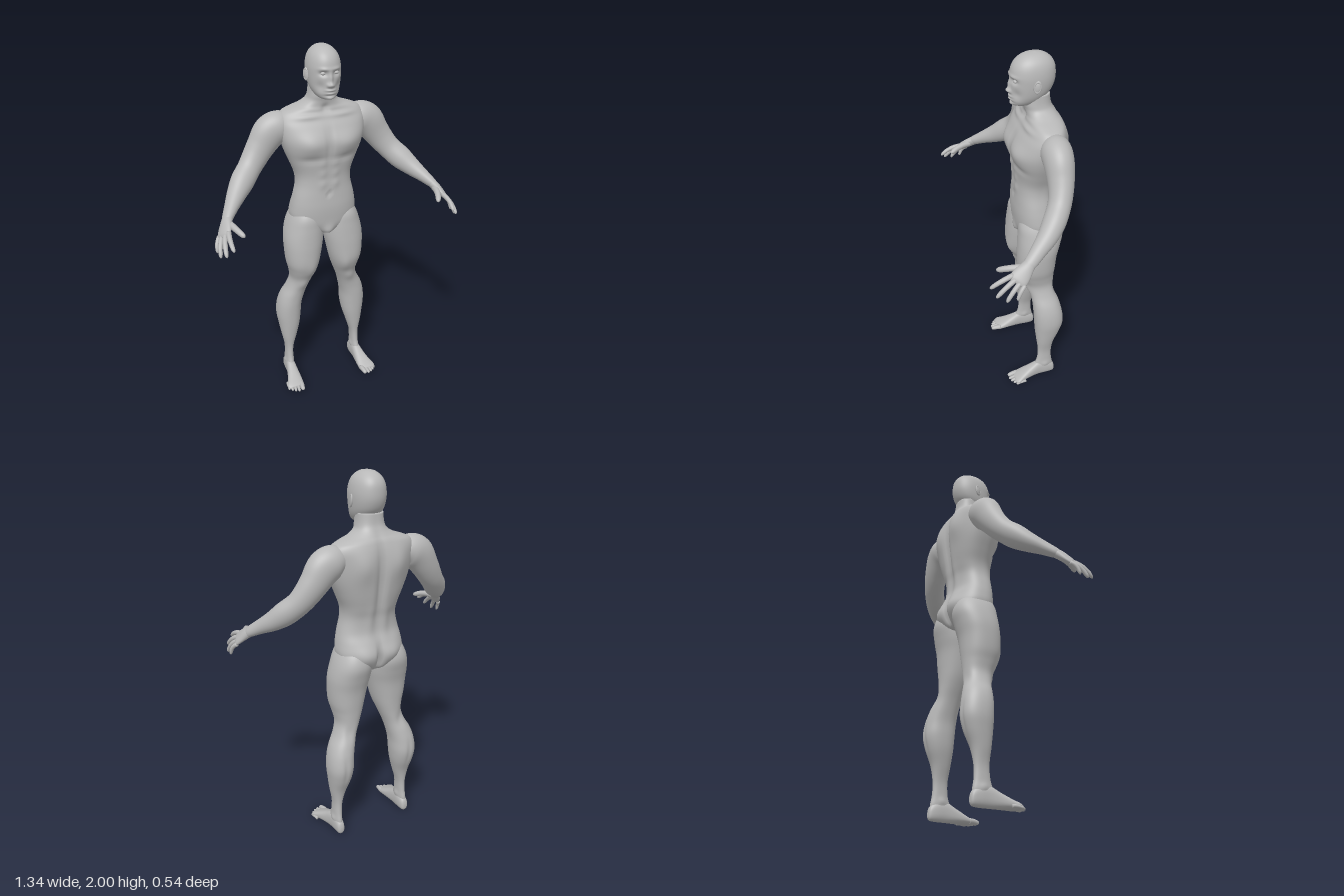
import * as THREE from 'three';

const V = (x, y, z) => new THREE.Vector3(x, y, z);

// Catmull-Rom through rows of numbers, k steps between neighbours
function smoothRows(rows, k) {
  const out = [], n = rows.length;
  const at = (i) => rows[Math.min(n - 1, Math.max(0, i))];
  for (let i = 0; i < n - 1; i++) {
    for (let s = 0; s < k; s++) {
      const t = s / k;
      out.push(rows[i].map((p1, c) => {
        const p0 = at(i - 1)[c], p2 = at(i + 1)[c], p3 = at(i + 2)[c];
        return p1 + 0.5 * t * (p2 - p0 + t * (2 * p0 - 5 * p1 + 4 * p2 - p3 + t * (3 * (p1 - p2) + p3 - p0)));
      }));
    }
  }
  out.push(rows[n - 1]);
  return out;
}

// Closed skin over a list of rings, always facing outward
function skin(rings) {
  const n = rings[0].length, m = rings.length, pts = rings.flat(), idx = [];
  for (let i = 0; i < m - 1; i++) {
    for (let j = 0; j < n; j++) {
      const a = i * n + j, b = i * n + (j + 1) % n;
      idx.push(a, b, a + n, b, b + n, a + n);
    }
  }
  [0, m - 1].forEach((r, e) => {
    const c = pts.length;
    pts.push(rings[r].reduce((s, p) => s.add(p), V(0, 0, 0)).divideScalar(n));
    for (let j = 0; j < n; j++) {
      const a = r * n + j, b = r * n + (j + 1) % n;
      idx.push(c, e ? a : b, e ? b : a);
    }
  });
  let volume = 0;
  for (let i = 0; i < idx.length; i += 3) {
    volume += pts[idx[i]].dot(V(0, 0, 0).crossVectors(pts[idx[i + 1]], pts[idx[i + 2]]));
  }
  if (volume < 0) idx.reverse();
  const g = new THREE.BufferGeometry().setFromPoints(pts);
  g.setIndex(idx);
  g.computeVertexNormals();
  return g;
}

// Rounded outline: unit circle squared off by exponent e
function outline(segs, e) {
  return Array.from({ length: segs }, (_, j) => {
    const a = (j / segs) * Math.PI * 2, c = Math.cos(a), s = Math.sin(a);
    return [Math.sign(c) * Math.abs(c) ** (2 / e), Math.sign(s) * Math.abs(s) ** (2 / e)];
  });
}

// Rows [height, x0, x1, z0, z1]; along z the last pair is y0, y1
function loft(rows, { axis = 'y', segs = 48, k = 5, e = 2.2 } = {}) {
  const o = outline(segs, e);
  return skin(smoothRows(rows, k).map(([h, x0, x1, d0, d1]) => o.map(([c, s]) => {
    const x = (x0 + x1) / 2 + c * (x1 - x0) / 2, d = (d0 + d1) / 2 + s * (d1 - d0) / 2;
    return axis === 'y' ? V(x, h, d) : V(x, d, h);
  })));
}

// Rows [x, y, z, a, b]: radius a across the hint direction, b along it
function limb(rows, hint, { segs = 32, k = 5 } = {}) {
  const r = smoothRows(rows, k), o = outline(segs, 2);
  return skin(r.map(([x, y, z, a, b], i) => {
    const p = r[Math.max(0, i - 1)], q = r[Math.min(r.length - 1, i + 1)];
    const t = V(q[0] - p[0], q[1] - p[1], q[2] - p[2]).normalize();
    const u = V(0, 0, 0).crossVectors(t, hint).normalize(), v = V(0, 0, 0).crossVectors(u, t);
    return o.map(([c, s]) => V(x, y, z).addScaledVector(u, c * a).addScaledVector(v, s * b));
  }));
}

// Soft pushes [cx,cy,cz, sx,sy,sz, dx,dy,dz]; mirrored when off the centre line
function sculpt(geo, bumps, mirror = true) {
  const all = bumps.flatMap((b) => (mirror && b[0] ? [b, b.map((n, i) => (i === 0 || i === 6 ? -n : n))] : [b]));
  const pos = geo.attributes.position, p = V(0, 0, 0);
  for (let i = 0; i < pos.count; i++) {
    p.fromBufferAttribute(pos, i);
    const q = p.clone();
    for (const [cx, cy, cz, sx, sy, sz, dx, dy, dz] of all) {
      const w = Math.exp(-(((p.x - cx) / sx) ** 2) - ((p.y - cy) / sy) ** 2 - ((p.z - cz) / sz) ** 2);
      q.addScaledVector(V(dx, dy, dz), w);
    }
    pos.setXYZ(i, q.x, q.y, q.z);
  }
  geo.computeVertexNormals();
  return geo;
}

function mirrored(geo) {
  const g = geo.clone().scale(-1, 1, 1);
  g.setIndex(Array.from(g.index.array).reverse());
  g.computeVertexNormals();
  return g;
}

// Finger or toe: bent, tapering, with a round tip
function digit(base, tip, r, bend) {
  const fall = [[0, 1], [0.3, 0.98], [0.6, 0.9], [0.85, 0.8], [0.96, 0.5], [1, 0.08]];
  return limb(fall.map(([t, f]) => {
    const p = V(...base).lerp(V(...tip), t).addScaledVector(bend, 4 * t * (1 - t));
    return [p.x, p.y, p.z, r * f, r * f];
  }), V(1, 0, 0), { segs: 14, k: 3 });
}

export function createModel() {
  const model = new THREE.Group();
  const skinGrey = new THREE.MeshStandardMaterial({ color: 0xb8b8b8 });
  skinGrey.name = 'skinGrey';
  const add = (name, geo) => {
    const m = new THREE.Mesh(geo, skinGrey);
    m.name = name;
    model.add(m);
  };
  const pair = (name, geo) => {
    add('left' + name, geo);
    add('right' + name, mirrored(geo));
  };
  const sym = (rows) => rows.map(([y, w, z0, z1]) => [y, -w, w, z0, z1]);

  // Torso with neck
  add('torso', sculpt(loft(sym([
    [0.965, 0.02, -0.16, -0.07], [0.99, 0.09, -0.215, -0.035], [1.03, 0.165, -0.24, -0.015],
    [1.08, 0.188, -0.248, -0.008], [1.14, 0.183, -0.233, -0.005], [1.2, 0.17, -0.212, -0.008],
    [1.27, 0.154, -0.212, -0.012], [1.33, 0.158, -0.228, -0.012], [1.4, 0.185, -0.243, -0.004],
    [1.47, 0.213, -0.252, 0.006], [1.53, 0.23, -0.255, 0.004], [1.59, 0.238, -0.253, -0.018],
    [1.63, 0.235, -0.248, -0.042], [1.66, 0.215, -0.24, -0.058], [1.678, 0.175, -0.232, -0.062],
    [1.695, 0.125, -0.22, -0.065], [1.72, 0.085, -0.205, -0.062], [1.75, 0.073, -0.192, -0.056],
    [1.8, 0.068, -0.185, -0.06],
  ]), { segs: 96, e: 2.4 }), [
    [0.1, 1.51, 0, 0.075, 0.055, 0.07, 0, 0, 0.018], // chest
    [0.1, 1.425, 0, 0.07, 0.018, 0.06, 0, 0, -0.008],
    [0, 1.5, 0.01, 0.014, 0.09, 0.06, 0, 0, -0.012],
    [0.09, 1.645, -0.06, 0.07, 0.012, 0.04, 0, 0.002, 0.008], // collar bones
    [0, 1.68, -0.06, 0.018, 0.02, 0.04, 0, 0, -0.012],
    [0.035, 1.28, -0.01, 0.022, 0.025, 0.05, 0, 0, 0.006], // abdomen
    [0.035, 1.34, -0.01, 0.022, 0.025, 0.05, 0, 0, 0.006],
    [0.035, 1.4, -0.01, 0.022, 0.022, 0.05, 0, 0, 0.005],
    [0, 1.222, -0.01, 0.008, 0.012, 0.04, 0, 0, -0.012],
    [0.1, 1.56, -0.26, 0.06, 0.08, 0.06, 0, 0, -0.018], // shoulder blades
    [0, 1.46, -0.25, 0.022, 0.2, 0.06, 0, 0, 0.022], // spine
    [0.045, 1.25, -0.22, 0.025, 0.08, 0.05, 0, 0, -0.008],
    [0.08, 1.08, -0.25, 0.06, 0.06, 0.06, 0, 0, -0.016], // buttocks
    [0, 1.05, -0.25, 0.014, 0.07, 0.08, 0, 0, 0.035],
    [0, 1.0, -0.03, 0.03, 0.03, 0.05, 0, -0.008, 0.018],
  ]));

  // Head: brow, eye sockets, nose, lips, chin
  add('head', sculpt(loft(sym([
    [2.0, 0.004, -0.115, -0.105], [1.992, 0.035, -0.155, -0.058], [1.97, 0.062, -0.188, -0.022],
    [1.94, 0.078, -0.207, 0.0], [1.9, 0.086, -0.213, 0.01], [1.86, 0.086, -0.21, 0.01],
    [1.82, 0.081, -0.195, 0.01], [1.79, 0.073, -0.17, 0.01], [1.765, 0.06, -0.14, 0.008],
    [1.747, 0.042, -0.115, 0.0], [1.735, 0.012, -0.08, -0.03],
  ]), { segs: 128, k: 8, e: 2.15 }), [
    [0.035, 1.875, 0, 0.02, 0.013, 0.04, 0, 0, -0.014],
    [0.035, 1.897, 0.005, 0.028, 0.008, 0.03, 0, 0, 0.006],
    [0, 1.85, 0.01, 0.01, 0.03, 0.04, 0, 0, 0.011],
    [0, 1.82, 0.01, 0.014, 0.013, 0.04, 0, 0, 0.017],
    [0.014, 1.817, 0.01, 0.008, 0.008, 0.04, 0, 0, 0.008],
    [0, 1.792, 0.01, 0.024, 0.006, 0.04, 0, 0, 0.009],
    [0, 1.776, 0.01, 0.022, 0.006, 0.04, 0, 0, 0.008],
    [0, 1.765, 0.01, 0.03, 0.005, 0.04, 0, 0, -0.004],
    [0, 1.748, 0.005, 0.022, 0.01, 0.04, 0, 0, 0.008],
    [0.05, 1.81, -0.01, 0.02, 0.025, 0.03, -0.006, 0, -0.004],
  ]));
  pair('Eye', new THREE.SphereGeometry(0.012, 20, 14).scale(1.15, 0.7, 0.8).translate(0.035, 1.876, -0.007));

  // Ears: bowl with a raised rim
  const place = (g) => g.rotateY(Math.PI / 2 - 0.35).rotateX(-0.15).translate(0.09, 1.857, -0.102);
  pair('Ear', place(new THREE.SphereGeometry(0.02, 20, 14).scale(0.8, 1.35, 0.35)));
  pair('EarRim', place(new THREE.TorusGeometry(0.018, 0.005, 8, 28).scale(0.85, 1.45, 1)));

  // Arms, shoulder to wrist
  pair('Arm', limb([
    [0.16, 1.59, -0.155, 0.05, 0.05], [0.22, 1.588, -0.155, 0.082, 0.074], [0.275, 1.56, -0.155, 0.09, 0.074],
    [0.325, 1.495, -0.152, 0.077, 0.066], [0.365, 1.44, -0.142, 0.069, 0.06], [0.405, 1.39, -0.122, 0.063, 0.057],
    [0.455, 1.34, -0.083, 0.063, 0.057], [0.5, 1.297, -0.038, 0.051, 0.05], [0.545, 1.257, 0.02, 0.036, 0.039],
    [0.58, 1.224, 0.068, 0.026, 0.032], [0.592, 1.21, 0.09, 0.018, 0.026],
  ], V(0, 0, 1), { segs: 48 }));

  // Hands
  pair('Palm', limb([
    [0.572, 1.231, 0.057, 0.024, 0.026], [0.59, 1.212, 0.085, 0.024, 0.034], [0.606, 1.191, 0.113, 0.02, 0.043],
    [0.621, 1.169, 0.139, 0.015, 0.045], [0.628, 1.16, 0.15, 0.006, 0.034],
  ], V(0.047, -0.045, -0.05).normalize()));
  const knuckle = V(0.006, 0.008, 0.004);
  [
    ['IndexFinger', [0.6, 1.188, 0.155], [0.605, 1.135, 0.27], 0.013],
    ['MiddleFinger', [0.614, 1.174, 0.145], [0.638, 1.1, 0.248], 0.013],
    ['RingFinger', [0.629, 1.16, 0.13], [0.658, 1.079, 0.203], 0.0125],
    ['LittleFinger', [0.641, 1.149, 0.112], [0.662, 1.083, 0.152], 0.011],
    ['Thumb', [0.581, 1.207, 0.095], [0.536, 1.18, 0.222], 0.017],
  ].forEach(([name, base, tip, r]) => pair(name, digit(base, tip, r, knuckle)));

  // Legs, hip to ankle
  pair('Leg', sculpt(loft([
    [1.14, 0.05, 0.155, -0.19, -0.05], [1.08, 0.02, 0.19, -0.235, -0.016], [1.02, 0.005, 0.213, -0.25, -0.008],
    [0.95, 0.006, 0.228, -0.235, -0.003], [0.88, 0.018, 0.229, -0.218, 0], [0.8, 0.035, 0.222, -0.21, -0.002],
    [0.74, 0.052, 0.207, -0.205, -0.02], [0.68, 0.075, 0.199, -0.203, -0.05], [0.62, 0.098, 0.218, -0.21, -0.067],
    [0.56, 0.115, 0.25, -0.228, -0.075], [0.5, 0.128, 0.268, -0.243, -0.078], [0.43, 0.133, 0.274, -0.249, -0.082],
    [0.36, 0.143, 0.266, -0.232, -0.087], [0.28, 0.165, 0.253, -0.2, -0.096], [0.2, 0.188, 0.238, -0.186, -0.105],
    [0.13, 0.193, 0.238, -0.187, -0.1], [0.08, 0.194, 0.24, -0.195, -0.085], [0.03, 0.2, 0.235, -0.19, -0.09],
  ], { segs: 56 }), [
    [0.145, 0.655, -0.05, 0.03, 0.035, 0.04, 0, 0, 0.01], // kneecap
    [0.1, 0.76, -0.02, 0.03, 0.05, 0.04, 0, 0, 0.007],
    [0.165, 0.64, -0.21, 0.025, 0.04, 0.04, 0, 0, 0.008], // back of knee
    [0.205, 0.42, -0.25, 0.012, 0.08, 0.04, 0, 0, 0.006],
    [0.193, 0.1, -0.14, 0.02, 0.018, 0.02, -0.006, 0, 0], // ankle bones
    [0.24, 0.09, -0.145, 0.02, 0.018, 0.02, 0.006, 0, 0],
  ], false));

  // Feet, heel to ball
  pair('Foot', loft([
    [-0.206, 0.207, 0.228, 0.02, 0.045], [-0.196, 0.196, 0.238, 0.004, 0.075], [-0.16, 0.19, 0.243, 0, 0.1],
    [-0.11, 0.19, 0.246, 0, 0.104], [-0.06, 0.187, 0.256, 0, 0.08], [-0.01, 0.184, 0.271, 0, 0.054],
    [0.025, 0.185, 0.284, 0, 0.036], [0.042, 0.192, 0.277, 0.004, 0.026], [0.046, 0.2, 0.27, 0.01, 0.02],
  ], { axis: 'z', segs: 40, e: 2.4 }));
  [[0.201, 0.08, 0.0145], [0.224, 0.08, 0.01], [0.243, 0.072, 0.01], [0.26, 0.06, 0.0095], [0.275, 0.045, 0.009]]
    .forEach(([x, z, r], i) => pair('Toe' + (i + 1),
      digit([x - 0.003, r + 0.004, z - 0.06], [x + 0.004, r * 0.75, z], r, V(0, 0.003, 0))));

  return model;
}
